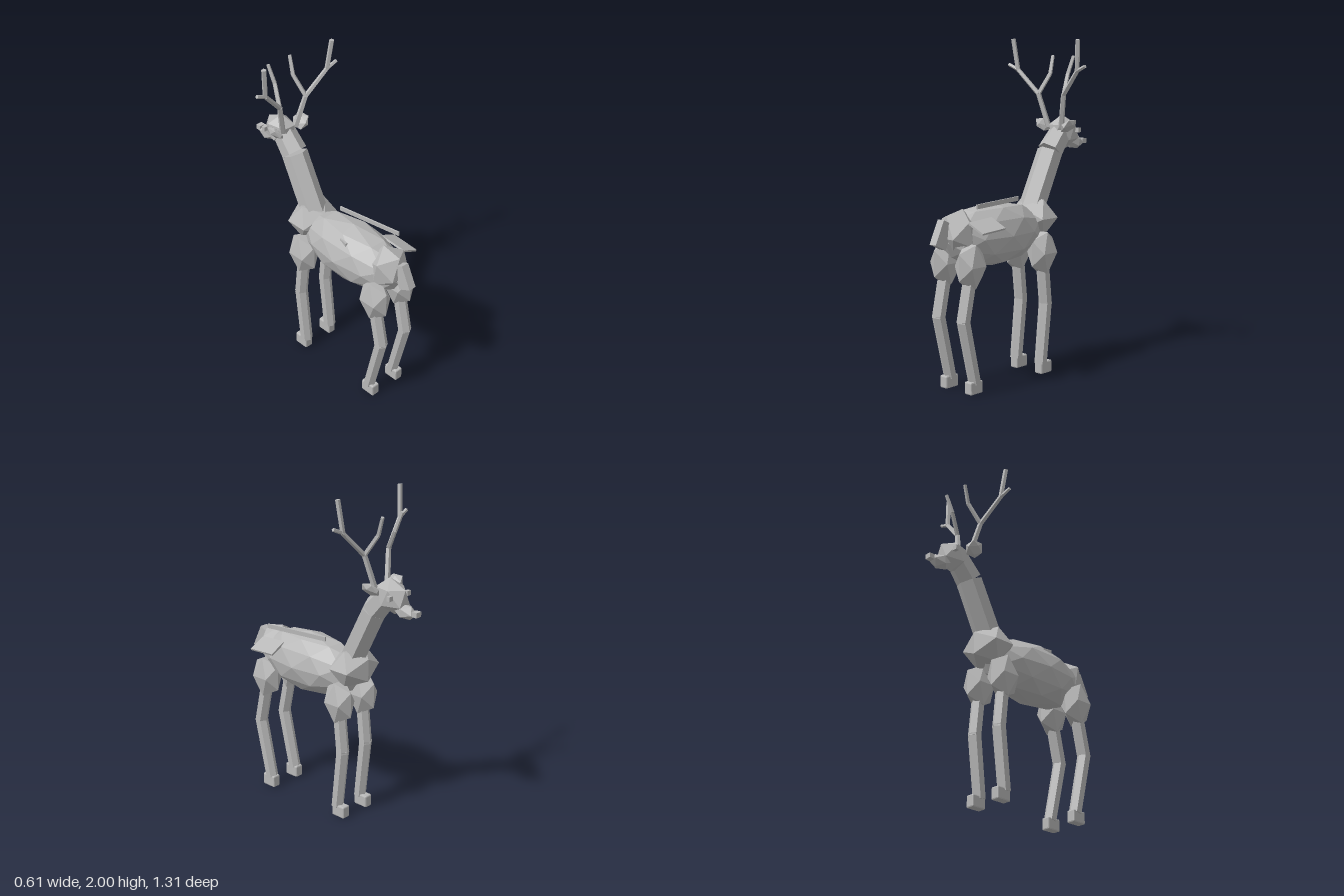
import * as THREE from 'three';
import { RoundedBoxGeometry } from 'three/addons/geometries/RoundedBoxGeometry.js';

const V = (p) => new THREE.Vector3(...p);

export function createModel() {
  const root = new THREE.Group();
  root.name = 'deer';
  const hide = new THREE.MeshStandardMaterial({ color: 0xb8b8b8, flatShading: true });
  hide.name = 'grey hide';

  function add(name, geometry, pos = [0, 0, 0], rot = [0, 0, 0], parent = root) {
    const mesh = new THREE.Mesh(geometry, hide);
    mesh.name = name;
    mesh.position.set(...pos);
    mesh.rotation.set(...rot);
    parent.add(mesh);
    return mesh;
  }

  // Faceted blob: a stretched icosahedron, optionally turned about y first
  function blob(name, pos, radii, rot, detail = 0, turn = 0, parent = root) {
    const g = new THREE.IcosahedronGeometry(1, detail).rotateY(turn).scale(...radii);
    return add(name, g, pos, rot, parent);
  }

  // Straight prism between two points
  function limb(name, a, b, r0, r1, sides = 6, parent = root) {
    const p = V(a), q = V(b), dir = q.clone().sub(p);
    const g = new THREE.CylinderGeometry(r1, r0, dir.length(), sides);
    const mesh = add(name, g, p.clone().add(q).multiplyScalar(0.5).toArray(), [0, 0, 0], parent);
    mesh.quaternion.setFromUnitVectors(new THREE.Vector3(0, 1, 0), dir.normalize());
    return mesh;
  }

  const box = (w, h, d) => new THREE.BoxGeometry(w, h, d);

  // Torso
  blob('body', [0, 0.885, 0.17], [0.17, 0.188, 0.395], [0, 0, 0], 1);
  blob('chest', [0, 0.945, -0.18], [0.165, 0.13, 0.13]);
  blob('rump', [0, 0.92, 0.455], [0.13, 0.145, 0.125], [0.2, 0, 0], 0, Math.PI / 2);
  add('tail', box(0.05, 0.15, 0.085), [0, 0.925, 0.58], [-0.45, 0, 0]);

  // Neck in two segments
  limb('lowerNeck', [0, 0.99, -0.165], [0, 1.325, -0.335], 0.08, 0.078);
  limb('upperNeck', [0, 1.33, -0.337], [0, 1.43, -0.425], 0.078, 0.07);

  // Head
  blob('head', [0, 1.44, -0.465], [0.082, 0.1, 0.12], [-0.45, 0, 0], 0, Math.PI / 2);
  blob('muzzle', [0, 1.37, -0.56], [0.052, 0.045, 0.075], [-0.1, 0, 0], 0, Math.PI / 2);
  add('nose', box(0.04, 0.03, 0.035), [0, 1.372, -0.64]);

  for (const s of [1, -1]) {
    const side = s > 0 ? 'left' : 'right';
    add(side + 'Eye', box(0.03, 0.028, 0.022), [s * 0.075, 1.45, -0.51]);
    blob(side + 'Ear', [s * 0.1, 1.482, -0.39], [0.055, 0.025, 0.064], [0, 0, s * 0.85]);

    // Antler: beam, two outer tines and a bent inner tine
    const antler = new THREE.Group();
    antler.name = side + 'Antler';
    root.add(antler);
    const base = [s * 0.05, 1.47, -0.38], fork = [s * 0.1, 1.67, -0.342];
    const crown = [s * 0.235, 1.815, -0.305], bend = [s * 0.07, 1.79, -0.415];
    limb('beam', base, fork, 0.018, 0.016, 5, antler);
    limb('outerBeam', fork, crown, 0.015, 0.014, 5, antler);
    limb('upperTine', crown, [s * 0.255, 2, -0.285], 0.015, 0.015, 5, antler);
    limb('sideTine', crown, [s * 0.302, 1.845, -0.297], 0.012, 0.011, 5, antler);
    limb('innerTine', fork, bend, 0.014, 0.013, 5, antler);
    limb('innerTip', bend, [s * 0.082, 1.9, -0.455], 0.013, 0.011, 5, antler);

    // Legs: hip, knee, ankle and hoof positions along z
    for (const [pair, hip, knee, ankle, hoof] of [
      ['front', -0.155, -0.185, -0.143, -0.168],
      ['hind', 0.453, 0.515, 0.425, 0.433],
    ]) {
      const leg = new THREE.Group();
      leg.name = `${side}${pair === 'front' ? 'Front' : 'Hind'}Leg`;
      root.add(leg);
      const x = s * 0.1;
      blob('thigh', [x, 0.742, hip], [0.082, 0.147, 0.108], [0, 0, 0], 0, 0, leg);
      limb('upperLeg', [x, 0.7, hip], [x, 0.42, knee], 0.04, 0.04, 6, leg);
      limb('lowerLeg', [x, 0.44, knee], [x, 0.06, ankle], 0.04, 0.038, 6, leg);
      add('hoof', new RoundedBoxGeometry(0.055, 0.075, 0.096, 1, 0.008), [x, 0.0375, hoof], [0, 0, 0], leg);
    }
  }

  // Loose slats on the back and flank
  add('backSlat', box(0.01, 0.026, 0.42), [0.084, 1.077, 0.212], [0, 0.165, 0]);
  add('flankPlate', box(0.12, 0.012, 0.185), [0.16, 0.968, 0.382], [0.06, 0, -0.45]);
  add('flankSliver', box(0.012, 0.03, 0.06), [-0.11, 1.01, 0.2], [0, -0.18, 0]);

  return root;
}
